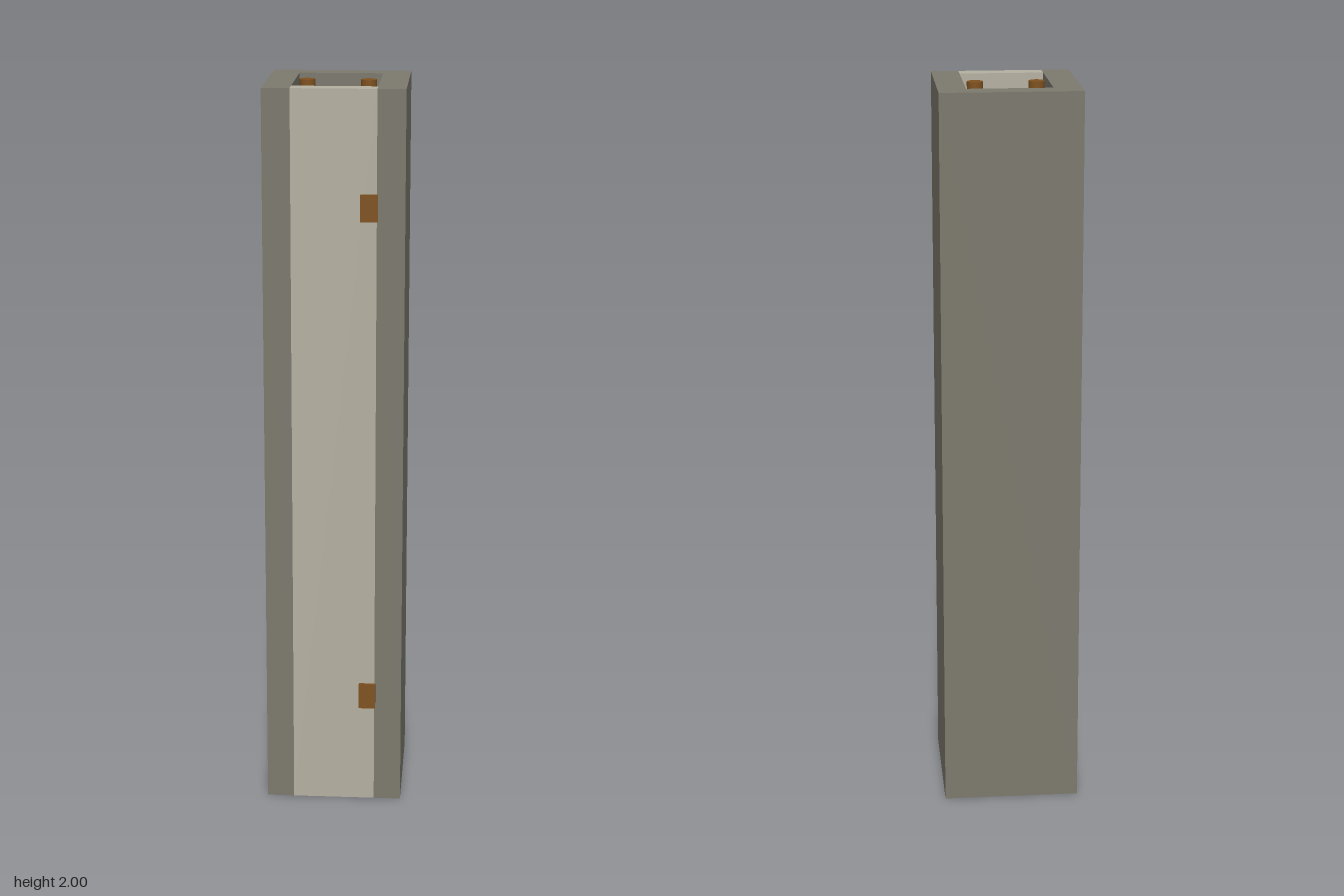
import * as THREE from 'three';

const HEIGHT = 2;
const HALF = 0.1875;              // half of the outer width
const INNER = 0.113;              // half of the shaft opening
const BACK = -0.192, FRONT = 0.183;
const INNER_BACK = -0.13, INNER_FRONT = 0.133;

function material(name, color) {
  const m = new THREE.MeshStandardMaterial({ color });
  m.name = name;
  return m;
}

export function createModel() {
  const wallGrey = material('wallGrey', 0x7d7a6e);
  const panelBeige = material('panelBeige', 0xb5b1a2);
  const bronze = material('bronze', 0x7f5220);

  const model = new THREE.Group();
  model.name = 'shaftTower';

  const add = (name, geometry, mat, x = 0, y = 0, z = 0) => {
    const mesh = new THREE.Mesh(geometry, mat);
    mesh.name = name;
    mesh.position.set(x, y, z);
    model.add(mesh);
  };

  // U-shaped wall, drawn in plan (shape y = -z) and extruded upward
  const plan = new THREE.Shape([
    [-HALF, FRONT], [-INNER, FRONT], [-INNER, INNER_BACK], [INNER, INNER_BACK],
    [INNER, FRONT], [HALF, FRONT], [HALF, BACK], [-HALF, BACK],
  ].map(([x, z]) => new THREE.Vector2(x, -z)));
  const wall = new THREE.ExtrudeGeometry(plan, { depth: HEIGHT, bevelEnabled: false });
  wall.rotateX(-Math.PI / 2);
  add('wall', wall, wallGrey);

  // Front panel closing the open side
  add('frontPanel', new THREE.BoxGeometry(INNER * 2, HEIGHT, FRONT - INNER_FRONT),
    panelBeige, 0, HEIGHT / 2, (FRONT + INNER_FRONT) / 2);

  // Two full-height rods inside the shaft
  for (const [name, side] of [['leftRod', 1], ['rightRod', -1]]) {
    add(name, new THREE.CylinderGeometry(0.0215, 0.0215, HEIGHT, 24),
      bronze, side * 0.0815, HEIGHT / 2, -0.005);
  }

  // Hinge plates over the panel's left seam
  for (const [name, y] of [['lowerHinge', 0.315], ['upperHinge', 1.691]]) {
    add(name, new THREE.BoxGeometry(0.046, 0.072, 0.009), bronze, 0.093, y, FRONT + 0.0045);
  }

  return model;
}
